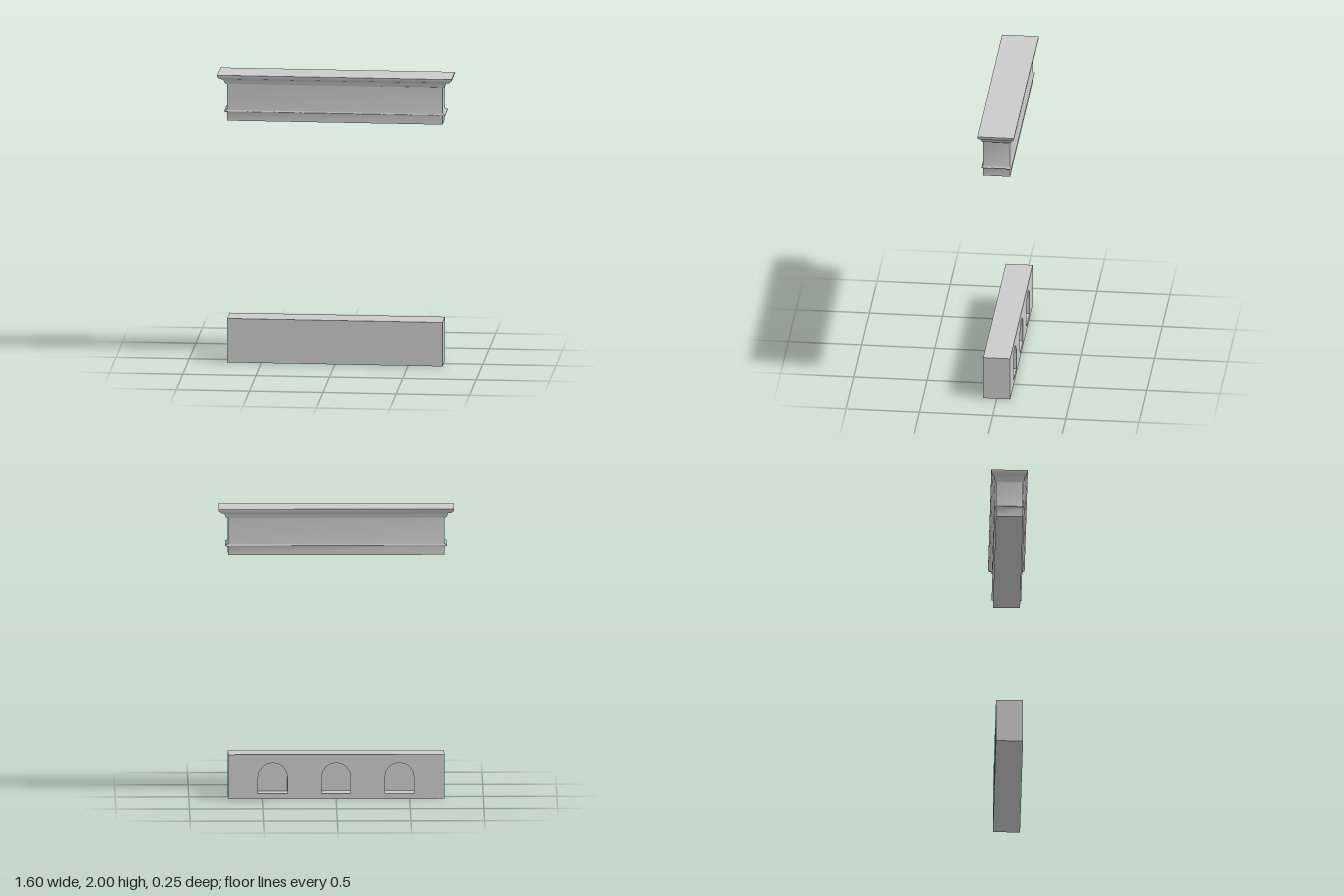
import * as THREE from 'three';

const HALF_X = 0.735, HALF_Z = 0.0925; // plain body half sizes
const material = new THREE.MeshStandardMaterial({ color: 0xcccccc });

function add(parent, name, geometry) {
  const mesh = new THREE.Mesh(geometry, material);
  mesh.name = name;
  parent.add(mesh);
  return mesh;
}

// Moulding profile from the bottom up: [overhang along x, height]; the overhang along z is half as deep
const profile = [
  [0, 1.68], [0, 1.737], [0.018, 1.743], [0.018, 1.749], [0, 1.757],
  [0, 1.935], [0.014, 1.94], [0.018, 1.948], [0.026, 1.968],
  [0.048, 1.972], [0.064, 1.988], [0.065, 2],
];

// One side of the mitred moulding, between two corner directions, smooth along the profile
function sideStrip([ax, az], [bx, bz]) {
  const positions = [], index = [];
  profile.forEach(([out, y], i) => {
    const x = HALF_X + out, z = HALF_Z + out / 2;
    positions.push(ax * x, y, az * z, bx * x, y, bz * z);
    if (i > 0) {
      const k = 2 * i;
      index.push(k - 2, k - 1, k + 1, k - 2, k + 1, k);
    }
  });
  const geometry = new THREE.BufferGeometry();
  geometry.setAttribute('position', new THREE.Float32BufferAttribute(positions, 3));
  geometry.setIndex(index);
  geometry.computeVertexNormals();
  return geometry;
}

function createEntablature() {
  const group = new THREE.Group();
  group.name = 'entablature';
  const corners = [[-1, 1], [1, 1], [1, -1], [-1, -1]];
  ['front', 'left', 'back', 'right'].forEach((side, i) =>
    add(group, side + 'Moulding', sideStrip(corners[i], corners[(i + 1) % 4])));

  // Flat top and underside
  const [out, topY] = profile[profile.length - 1];
  const top = new THREE.PlaneGeometry(2 * (HALF_X + out), 2 * HALF_Z + out);
  add(group, 'topFace', top.rotateX(-Math.PI / 2).translate(0, topY, 0));
  const under = new THREE.PlaneGeometry(2 * HALF_X, 2 * HALF_Z);
  add(group, 'underside', under.rotateX(Math.PI / 2).translate(0, profile[0][1], 0));
  return group;
}

function createBase() {
  const group = new THREE.Group();
  group.name = 'base';
  const height = 0.305, depth = 0.115, frontDepth = 2 * HALF_Z - depth;

  // Solid front slab
  add(group, 'frontSlab', new THREE.BoxGeometry(2 * HALF_X, height, frontDepth))
    .position.set(0, height / 2, HALF_Z - frontDepth / 2);

  // Rear slab pierced by three arched niches
  const slab = new THREE.Shape();
  slab.moveTo(-HALF_X, 0).lineTo(HALF_X, 0).lineTo(HALF_X, height).lineTo(-HALF_X, height);
  slab.closePath();
  const radius = 0.099, sill = 0.037, spring = 0.15;
  for (const x of [-0.43, 0, 0.43]) {
    const niche = new THREE.Path();
    niche.moveTo(x - radius, sill);
    niche.lineTo(x + radius, sill);
    niche.lineTo(x + radius, spring);
    niche.absarc(x, spring, radius, 0, Math.PI, false);
    niche.closePath();
    slab.holes.push(niche);
  }
  const rear = new THREE.ExtrudeGeometry(slab, { depth, bevelEnabled: false, curveSegments: 4 });
  add(group, 'nicheSlab', rear).position.z = -HALF_Z;
  return group;
}

export function createModel() {
  const model = new THREE.Group();
  model.name = 'architecturalSet';
  model.add(createBase(), createEntablature());
  return model;
}
